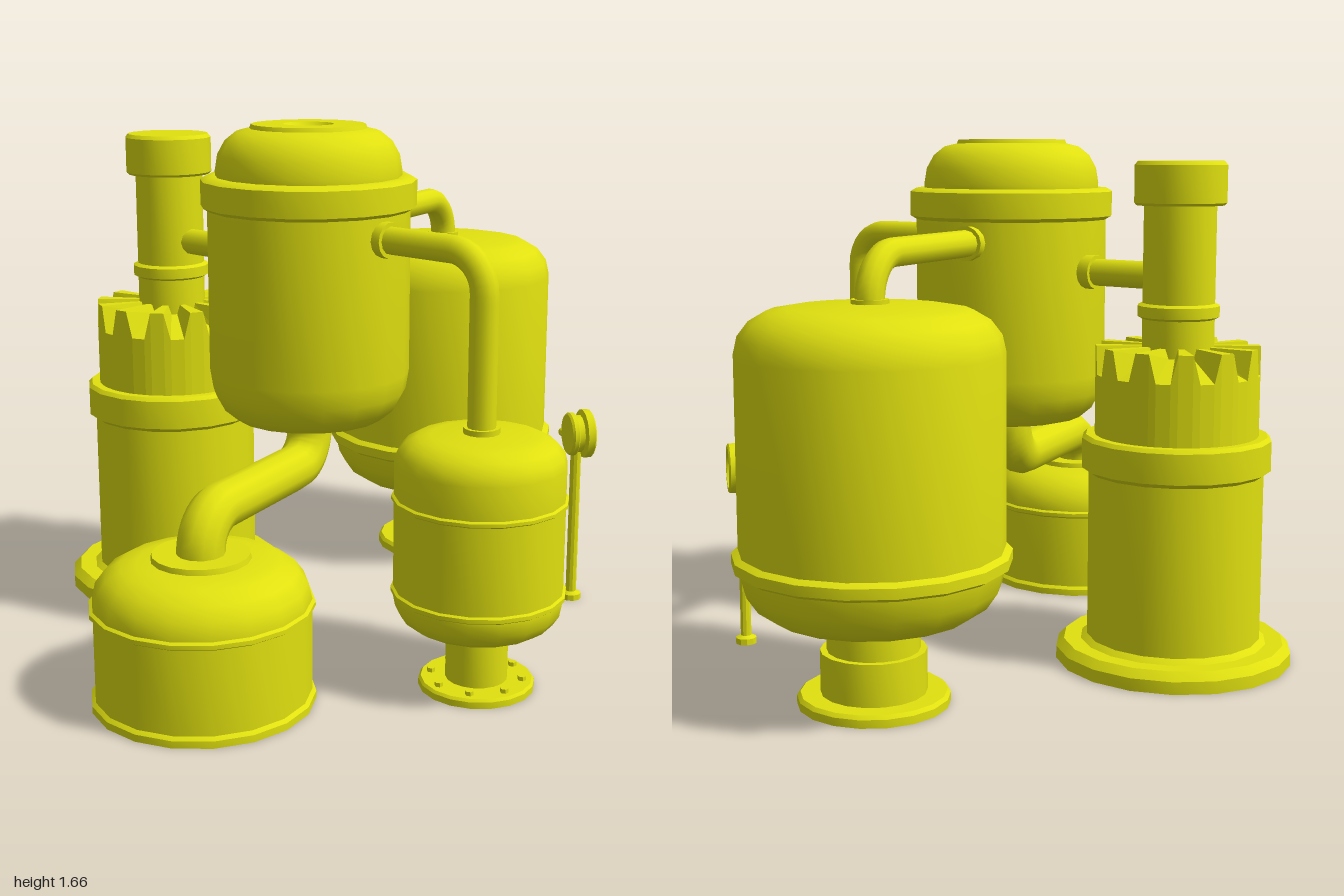
import * as THREE from 'three';
import { toCreasedNormals } from 'three/addons/utils/BufferGeometryUtils.js';

const yellow = new THREE.MeshStandardMaterial({ color: 0xe0e010, side: THREE.DoubleSide });
yellow.name = 'yellow';
const SIDES = 18;
const V = (x, y, z) => new THREE.Vector3(x, y, z);

function add(parent, name, geometry, crease = 0.62) {
  const mesh = new THREE.Mesh(crease ? toCreasedNormals(geometry, crease) : geometry, yellow);
  mesh.name = name;
  parent.add(mesh);
  return mesh;
}

function unit(parent, name, x, z) {
  const g = new THREE.Group();
  g.name = name;
  g.position.set(x, 0, z);
  parent.add(g);
  return g;
}

// Revolved profile, listed from the bottom up
function lathe(parent, name, points, sides = SIDES) {
  const profile = points.map(([r, y]) => new THREE.Vector2(r, y));
  return add(parent, name, new THREE.LatheGeometry(profile, sides));
}

// Rounded shoulder from the wall (r, y0) in to the end cap (rCap, y1)
function shoulder(r, y0, rCap, y1) {
  const pts = [];
  for (let i = 0; i <= 4; i++) {
    const a = (i / 4) * Math.PI / 2;
    pts.push([rCap + (r - rCap) * Math.cos(a), y0 + (y1 - y0) * Math.sin(a)]);
  }
  return pts;
}
const base = (...a) => shoulder(...a).reverse();

// Band with chamfered edges around a wall of radius r
const band = (r, out, y0, y1, c = 0.012) =>
  [[r, y0], [out, y0 + c], [out, y1 - c], [r, y1]];

// Pipe through corner points with rounded elbows
function pipe(parent, name, points, radius, bend) {
  const path = new THREE.CurvePath();
  let from = points[0];
  for (let i = 1; i < points.length - 1; i++) {
    const p = points[i];
    const a = p.clone().add(points[i - 1].clone().sub(p).setLength(bend));
    const b = p.clone().add(points[i + 1].clone().sub(p).setLength(bend));
    const k = 0.55;
    path.add(new THREE.LineCurve3(from, a));
    path.add(new THREE.CubicBezierCurve3(a, a.clone().lerp(p, k), b.clone().lerp(p, k), b));
    from = b;
  }
  path.add(new THREE.LineCurve3(from, points[points.length - 1]));
  add(parent, name, new THREE.TubeGeometry(path, 48, radius, 12), 0.8);
}

// Short ring around a pipe, centred on p and aligned with dir
function collar(parent, name, p, dir, r, length) {
  const m = add(parent, name, new THREE.CylinderGeometry(r, r, length, 14));
  m.position.copy(p);
  m.quaternion.setFromUnitVectors(V(0, 1, 0), dir.clone().normalize());
}

export function createModel() {
  const model = new THREE.Group();
  model.name = 'processPlant';
  const C = [-0.123, 0.137], R = [0.485, -0.587], K = [-0.53, -0.395];
  const L = [-0.523, 0.65], F = [0.307, 0.695];

  // Raised central vessel
  const centre = unit(model, 'centralTank', ...C);
  lathe(centre, 'centralTankShell', [
    [0, 0.712], ...base(0.322, 0.88, 0.19, 0.715),
    ...band(0.322, 0.342, 1.4, 1.505), [0.295, 1.505],
    ...shoulder(0.295, 1.52, 0.185, 1.652), [0.18, 1.665],
    [0.08, 1.665], [0.068, 1.65], [0, 1.65],
  ]);

  // Large rear tank on a hollow pedestal
  const rear = unit(model, 'rearTank', ...R);
  lathe(rear, 'rearTankShell', [
    [0, 0.265], ...base(0.395, 0.42, 0.24, 0.268),
    ...band(0.395, 0.415, 0.42, 0.475),
    ...shoulder(0.395, 1.05, 0.24, 1.185), [0, 1.197],
  ]);
  lathe(rear, 'rearTankPedestal', [
    [0.12, 0.27], [0.12, 0.02], [0.14, 0], [0.23, 0], [0.23, 0.025], [0.22, 0.036],
    [0.16, 0.036], [0.16, 0.165], [0.14, 0.165], [0.14, 0.28],
  ]);

  // Furnace column with a notched crown
  const column = unit(model, 'column', ...K);
  lathe(column, 'columnBody', [
    [0.255, 0.7], [0.255, 0.03], [0.3, 0.03], [0.3, 0], [0.38, 0], [0.38, 0.04],
    [0.355, 0.065], [0.3, 0.065], [0.28, 0.08], [0.28, 0.615],
    [0.302, 0.63], [0.302, 0.725], [0.29, 0.737], [0.2, 0.737],
  ]);
  const teeth = 12, rows = [], deg = Math.PI / 180;
  for (let i = 0; i < teeth; i++) {
    const c = i * 30 * deg;
    rows.push([c - 10 * deg, 1.02, 1.02], [c - 5 * deg, 0.93, 0.99],
      [c + 5 * deg, 0.93, 0.99], [c + 10 * deg, 1.02, 1.02]);
  }
  const pos = [];
  const at = (a, r, y) => [r * Math.sin(a), y, r * Math.cos(a)];
  const quad = (a, b, c, d) => pos.push(...a, ...b, ...c, ...a, ...c, ...d);
  rows.forEach(([a, outY, inY], i) => {
    const [b, outB, inB] = rows[(i + 1) % rows.length];
    quad(at(a, 0.26, 0.73), at(b, 0.26, 0.73), at(b, 0.26, outB), at(a, 0.26, outY));
    quad(at(a, 0.26, outY), at(b, 0.26, outB), at(b, 0.11, inB), at(a, 0.11, inY));
  });
  const crown = new THREE.BufferGeometry();
  crown.setAttribute('position', new THREE.Float32BufferAttribute(pos, 3));
  crown.computeVertexNormals();
  add(column, 'notchedCrown', crown, 0);
  lathe(column, 'columnStack', [
    [0.115, 0.96], [0.115, 1.1], ...band(0.115, 0.13, 1.105, 1.155, 0.008),
    [0.115, 1.46], [0.138, 1.46], [0.146, 1.468], [0.146, 1.585], [0.136, 1.597], [0, 1.597],
  ]);

  // Low front tank, open underneath
  const low = unit(model, 'lowTank', ...L);
  lathe(low, 'lowTankShell', [
    [0.31, 0.29], [0.31, 0], [0.338, 0], [0.338, 0.022], [0.327, 0.032],
    ...band(0.327, 0.337, 0.29, 0.315, 0.006),
    ...shoulder(0.327, 0.318, 0.19, 0.44), [0.15, 0.443], [0.147, 0.46], [0.1, 0.46], [0, 0.455],
  ]);

  // Small front tank on a bolted foot
  const front = unit(model, 'frontTank', ...F);
  lathe(front, 'frontTankShell', [
    [0, 0.198], ...base(0.257, 0.29, 0.17, 0.2),
    ...band(0.257, 0.265, 0.3, 0.322, 0.005), ...band(0.257, 0.265, 0.59, 0.61, 0.005),
    ...shoulder(0.257, 0.71, 0.15, 0.795), [0, 0.803],
  ]);
  lathe(front, 'frontTankPedestal', [
    [0.075, 0.2], [0.075, 0.015], [0.09, 0], [0.177, 0], [0.177, 0.02], [0.17, 0.028],
    [0.095, 0.028], [0.095, 0.21],
  ]);
  for (let i = 0; i < 8; i++) {
    const a = (i + 0.5) * Math.PI / 4;
    const bolt = add(front, 'bolt', new THREE.CylinderGeometry(0.013, 0.013, 0.014, 6));
    bolt.position.set(0.14 * Math.sin(a), 0.034, 0.14 * Math.cos(a));
  }

  // Connecting pipes with their collars
  const y = 1.333;
  const links = [['rearPipe', R, 1.18, 0.044, 0.13, y], ['frontPipe', F, 0.79, 0.043, 0.12, y]];
  for (const [name, T, yEnd, r, bend, h] of links) {
    pipe(model, name, [V(C[0], h, C[1]), V(T[0], h, T[1]), V(T[0], yEnd, T[1])], r, bend);
    const dir = V(T[0] - C[0], 0, T[1] - C[1]).normalize();
    collar(model, name + 'TankCollar', V(C[0], h, C[1]).addScaledVector(dir, 0.325), dir, 0.056, 0.04);
    collar(model, name + 'LowerCollar', V(T[0], yEnd + 0.015, T[1]), V(0, 1, 0), r + 0.012, 0.024);
  }
  pipe(model, 'columnPipe', [V(C[0], 1.235, C[1]), V(K[0], 1.235, K[1])], 0.044, 0);
  const toColumn = V(K[0] - C[0], 0, K[1] - C[1]).normalize();
  collar(model, 'columnPipeCollar', V(C[0], 1.235, C[1]).addScaledVector(toColumn, 0.33), toColumn, 0.056, 0.05);
  pipe(model, 'drainPipe', [
    V(C[0], 0.74, C[1]), V(C[0], 0.572, C[1]), V(L[0], 0.572, L[1]), V(L[0], 0.44, L[1]),
  ], 0.073, 0.11);
  collar(model, 'drainCollar', V(C[0], 0.705, C[1]), V(0, 1, 0), 0.085, 0.025);

  // Gauge on a post with a small lever
  const gauge = unit(model, 'gauge', 0.81, 0.065);
  lathe(gauge, 'gaugePost', [
    [0, 0], [0.035, 0], [0.035, 0.02], [0.018, 0.028], [0.018, 0.54], [0, 0.54],
  ], 10);
  const dial = lathe(gauge, 'gaugeHead', [
    [0, -0.033], [0.068, -0.033], [0.074, -0.026], [0.074, -0.012], [0.064, -0.006],
    [0.064, 0.012], [0.083, 0.018], [0.083, 0.042], [0.077, 0.047], [0.066, 0.047], [0.062, 0.035], [0, 0.035],
  ], 16);
  dial.rotation.z = -Math.PI / 2;
  dial.position.y = 0.597;
  pipe(gauge, 'lever', [V(-0.005, 0.59, -0.05), V(-0.005, 0.566, -0.135)], 0.01, 0);
  const knob = add(gauge, 'leverKnob', new THREE.SphereGeometry(0.016, 10, 8), 1);
  knob.position.set(-0.005, 0.566, -0.135);

  return model;
}
